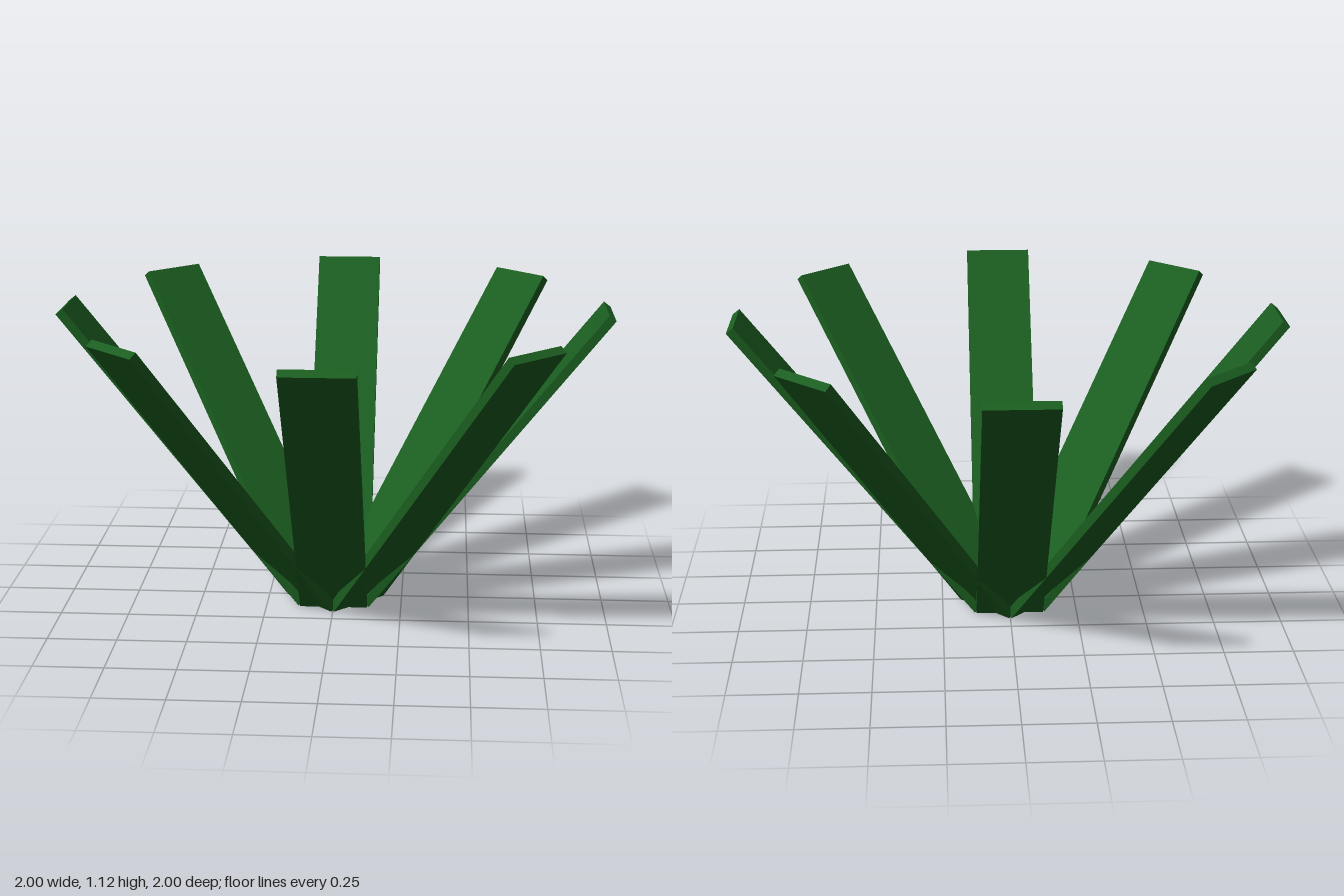
import * as THREE from 'three';

export function createModel() {
  const model = new THREE.Group();
  model.name = 'plant';

  const material = new THREE.MeshStandardMaterial({ color: 0x1b5e20, flatShading: true });
  const leafGeometry = new THREE.BoxGeometry(0.25, 1.4, 0.032);
  const leafCount = 8;

  // Flat leaves leaning outward in a ring, open in the middle
  for (let i = 0; i < leafCount; i++) {
    const pivot = new THREE.Group();
    pivot.name = `leafPivot${i + 1}`;
    pivot.rotation.y = (i / leafCount) * Math.PI * 2;

    const leaf = new THREE.Mesh(leafGeometry, material);
    leaf.name = `leaf${i + 1}`;
    leaf.position.set(0, 0.559, 0.553);
    leaf.rotation.x = 0.67;
    pivot.add(leaf);
    model.add(pivot);
  }
  return model;
}
